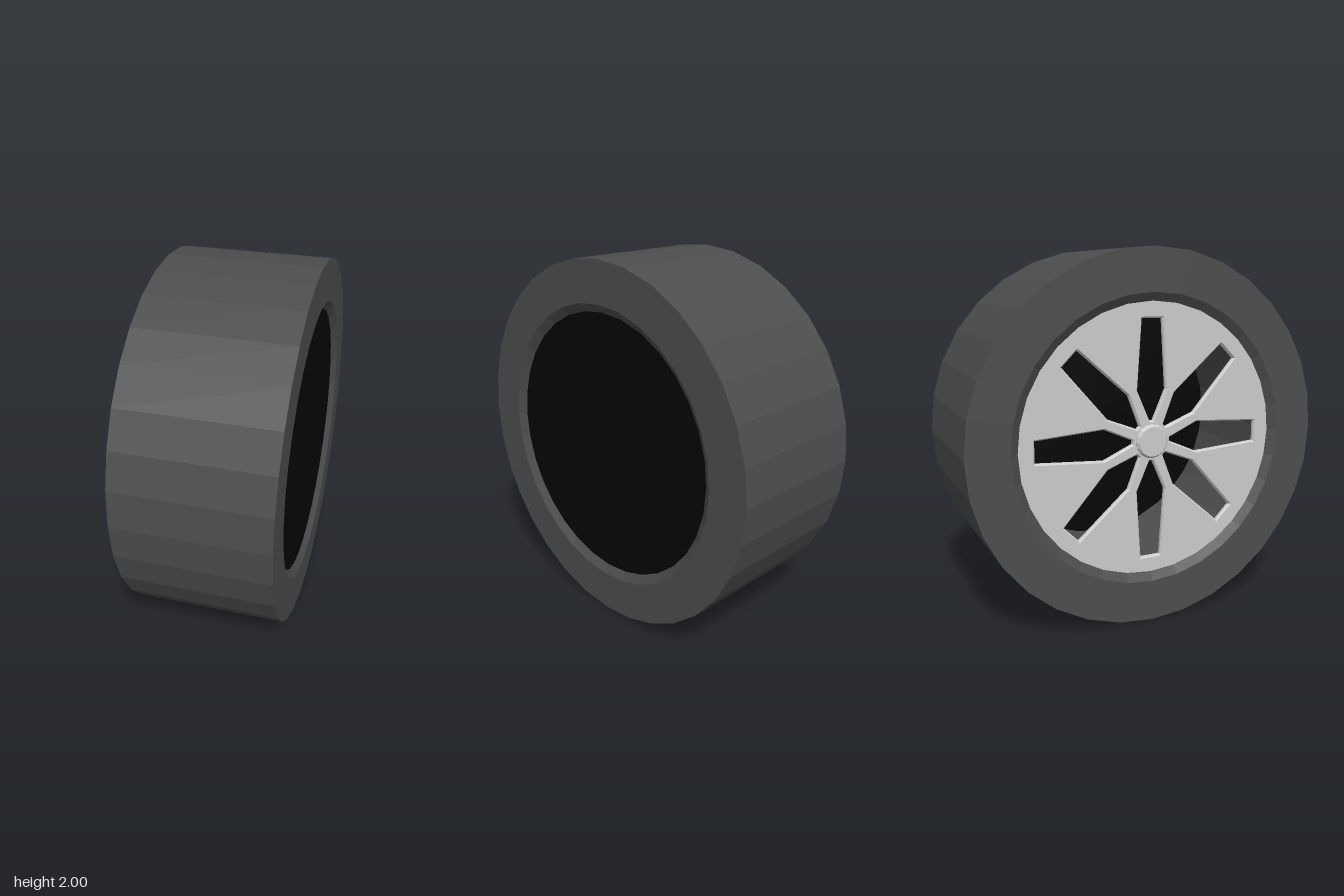
import * as THREE from 'three';

const SEGMENTS = 32;

function material(color) {
  return new THREE.MeshStandardMaterial({ color, flatShading: true });
}

// Every part is built around the axle, which sits one radius above the ground
function part(name, geometry, mat) {
  const mesh = new THREE.Mesh(geometry, mat);
  mesh.name = name;
  mesh.position.y = 1;
  return mesh;
}

// Spoke window: blunt tip near the hub, widest at the shoulder, narrowing to the rim
function windowPath(angle) {
  const outline = [[0.1, -0.015], [0.27, -0.09], [0.65, -0.065], [0.65, 0.065], [0.27, 0.09], [0.1, 0.015]];
  const c = Math.cos(angle), s = Math.sin(angle);
  return new THREE.Path(outline.map(([r, w]) => new THREE.Vector2(r * c - w * s, r * s + w * c)));
}

export function createModel() {
  const wheel = new THREE.Group();
  wheel.name = 'wheel';
  const rubber = material(0x4d4d4d);
  const metal = material(0xcccccc);
  const black = material(0x050505);

  // Tyre: closed section with a bevelled lip on both sides
  const section = [[0.73, -0.37], [0.775, -0.4], [1, -0.4], [1, 0.4], [0.775, 0.4], [0.73, 0.37], [0.73, -0.37]];
  const tyre = new THREE.LatheGeometry(section.map(([r, x]) => new THREE.Vector2(r, x)), SEGMENTS);
  tyre.rotateZ(-Math.PI / 2);
  wheel.add(part('tyre', tyre, rubber));

  // Black plate closing the inner side
  const plate = new THREE.CylinderGeometry(0.73, 0.73, 0.02, SEGMENTS);
  plate.rotateZ(-Math.PI / 2).translate(0.36, 0, 0);
  wheel.add(part('backPlate', plate, black));

  // Rim face with eight bevelled windows between the spokes
  const face = new THREE.Shape();
  for (let i = 0; i < SEGMENTS; i++) {
    const a = (i / SEGMENTS) * Math.PI * 2;
    face[i ? 'lineTo' : 'moveTo'](0.73 * Math.cos(a), 0.73 * Math.sin(a));
  }
  face.closePath();
  for (let i = 0; i < 8; i++) face.holes.push(windowPath((i * Math.PI) / 4));
  const rim = new THREE.ExtrudeGeometry(face, {
    depth: 0.015, bevelEnabled: true, bevelThickness: 0.01, bevelSize: 0.008, bevelSegments: 1,
  });
  rim.translate(0, 0, 0.345).rotateY(-Math.PI / 2);
  wheel.add(part('rimSpokes', rim, metal));

  // Hub cap with a small chamfer
  const capProfile = [[0, -0.39], [0.08, -0.39], [0.092, -0.375], [0.092, -0.33], [0, -0.33]];
  const cap = new THREE.LatheGeometry(capProfile.map(([r, x]) => new THREE.Vector2(r, -x)).reverse(), 16);
  cap.rotateZ(Math.PI / 2);
  wheel.add(part('hubCap', cap, metal));

  return wheel;
}
